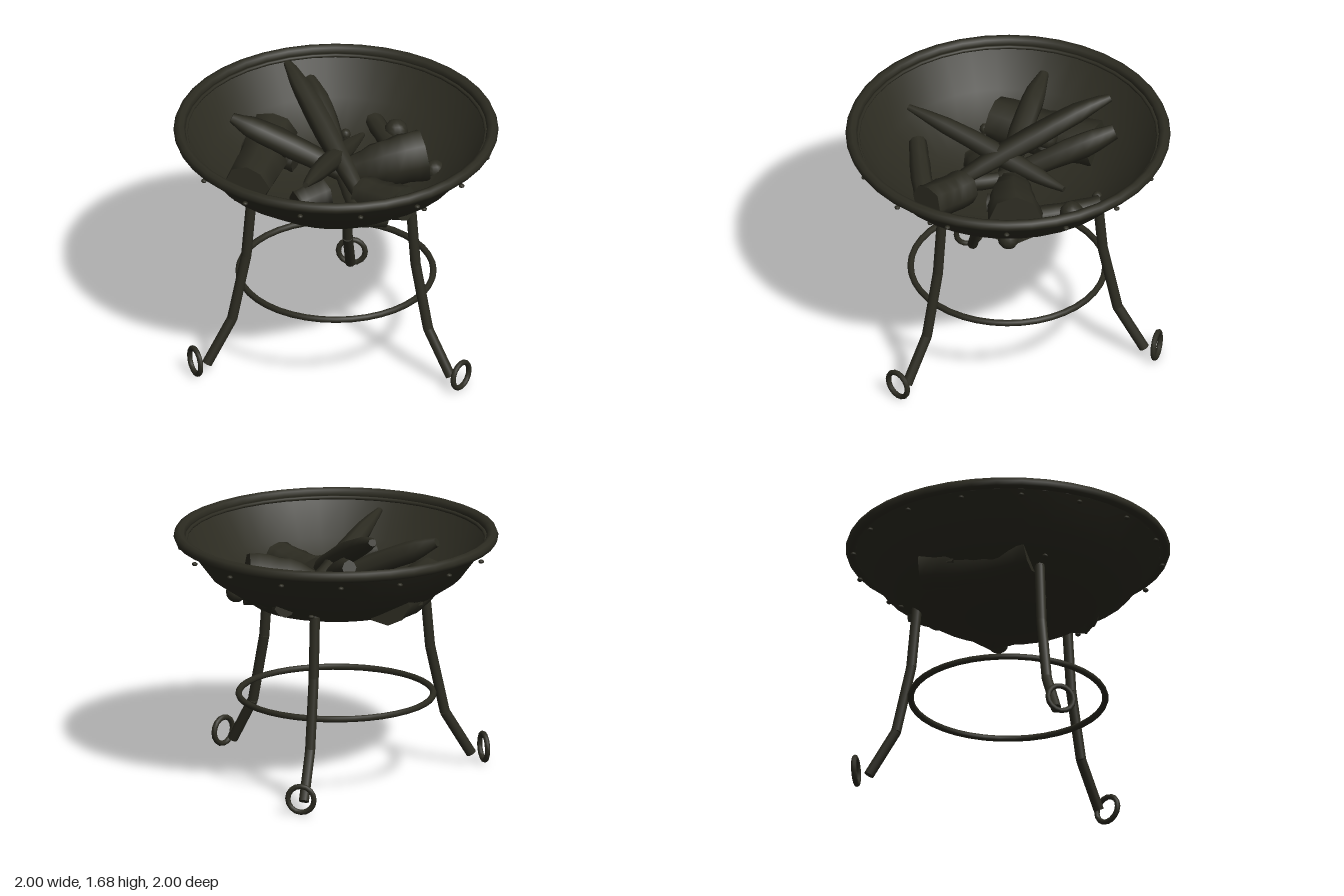
import * as THREE from 'three';

const V = (x, y, z) => new THREE.Vector3(x, y, z);

export function createModel() {
  const root = new THREE.Group();
  root.name = 'firePit';
  const iron = new THREE.MeshStandardMaterial({ color: 0x2c2b21 });
  iron.name = 'blackened iron';
  const ironSheet = new THREE.MeshStandardMaterial({ color: 0x2c2b21, side: THREE.DoubleSide });
  ironSheet.name = 'blackened iron sheet';

  const add = (parent, name, geo, pos = [0, 0, 0], mat = iron) => {
    const m = new THREE.Mesh(geo, mat);
    m.name = name;
    m.position.set(...pos);
    parent.add(m);
    return m;
  };

  // straight round bar between two points
  const bar = (parent, name, a, b, r) => {
    const d = b.clone().sub(a);
    const m = add(parent, name, new THREE.CylinderGeometry(r, r, d.length(), 12));
    m.position.copy(a).addScaledVector(d, 0.5);
    m.quaternion.setFromUnitVectors(V(0, 1, 0), d.normalize());
  };

  // thin bowl and its rolled rim
  const profile = [[0, 1.06], [0.235, 1.062], [0.52, 1.125], [0.78, 1.3], [0.93, 1.5], [0.955, 1.535]];
  add(root, 'bowl', new THREE.LatheGeometry(profile.map(p => new THREE.Vector2(...p)), 36), [0, 0, 0], ironSheet);
  const hoop = (name, R, r, y) => {
    add(root, name, new THREE.TorusGeometry(R, r, 8, 40), [0, y, 0]).rotation.x = Math.PI / 2;
  };
  hoop('rim', 0.965, 0.036, 1.535);
  hoop('innerLip', 0.925, 0.012, 1.515);
  hoop('stretcherRing', 0.6, 0.02, 0.525);

  // rivets below the rim
  for (let i = 0; i < 16; i++) {
    const a = i * Math.PI / 8;
    add(root, 'rivet', new THREE.SphereGeometry(0.018, 8, 6),
      [0.955 * Math.sin(a), 1.46, 0.955 * Math.cos(a)]).scale.y = 0.7;
  }

  // three bent legs with ring feet
  const bends = [[0.57, 1.17], [0.605, 0.78], [0.7, 0.35], [0.87, 0.07]];
  for (let i = 0; i < 3; i++) {
    const leg = new THREE.Group();
    leg.name = 'leg';
    leg.rotation.y = i * Math.PI * 2 / 3;
    root.add(leg);
    for (let k = 0; k < 3; k++) {
      const [p, q] = [bends[k], bends[k + 1]];
      bar(leg, 'legBar', V(0, p[1], p[0]), V(0, q[1], q[0]), 0.032);
    }
    add(leg, 'footRing', new THREE.TorusGeometry(0.083, 0.017, 8, 16), [0, 0.105, 0.95]);
    add(leg, 'legBolt', new THREE.SphereGeometry(0.033, 10, 8), [0, 1.165, 0.57]);
    add(leg, 'legRivet', new THREE.SphereGeometry(0.018, 8, 6), [0, 1.195, 0.67]).scale.y = 0.7;
  }

  // seeded noise for uneven wood
  let seed = 7;
  const rnd = () => (seed = (seed * 16807) % 2147483647) / 2147483647;

  // split log: uneven loops swept along points [x, y, z, radius]
  const log = (name, pts, sides = 8) => {
    const curve = new THREE.CatmullRomCurve3(pts.map(p => V(p[0], p[1], p[2])));
    const steps = 8, pos = [], idx = [];
    const shape = Array.from({ length: sides }, () => 0.88 + rnd() * 0.24);
    for (let i = 0; i <= steps; i++) {
      const t = i / steps, f = t * (pts.length - 1);
      const k = Math.min(Math.floor(f), pts.length - 2);
      const r = THREE.MathUtils.lerp(pts[k][3], pts[k + 1][3], f - k);
      const c = curve.getPoint(t), dir = curve.getTangent(t);
      const side = V(0, 1, 0).cross(dir).normalize(), up = dir.clone().cross(side);
      for (let j = 0; j < sides; j++) {
        const a = j / sides * Math.PI * 2, q = r * shape[j] * (0.94 + rnd() * 0.12);
        const p = c.clone().addScaledVector(side, Math.cos(a) * q).addScaledVector(up, Math.sin(a) * q);
        pos.push(p.x, p.y, p.z);
        if (i < steps) {
          const m = i * sides + j, n = i * sides + (j + 1) % sides;
          idx.push(m, n, m + sides, n, n + sides, m + sides);
        }
      }
    }
    // end caps with their own corners for crisp edges
    for (const end of [0, steps]) {
      const base = pos.length / 3, c = curve.getPoint(end / steps);
      for (let j = 0; j < sides; j++) {
        const s = (end * sides + j) * 3;
        pos.push(pos[s], pos[s + 1], pos[s + 2]);
      }
      pos.push(c.x, c.y, c.z);
      for (let j = 0; j < sides; j++) {
        const n = (j + 1) % sides;
        if (end) idx.push(base + sides, base + j, base + n);
        else idx.push(base + sides, base + n, base + j);
      }
    }
    const g = new THREE.BufferGeometry();
    g.setAttribute('position', new THREE.Float32BufferAttribute(pos, 3));
    g.setIndex(idx);
    g.computeVertexNormals();
    add(root, name, g);
  };

  // leaning logs
  log('leaningLog', [[-0.28, 1.545, -0.59, 0.03], [-0.22, 1.48, -0.45, 0.072], [-0.1, 1.36, -0.2, 0.075], [0.03, 1.22, 0.04, 0.06]]);
  log('leaningLog', [[0.3, 1.66, -0.59, 0.025], [0.22, 1.6, -0.44, 0.06], [0.04, 1.43, -0.09, 0.075], [-0.15, 1.24, 0.28, 0.045]]);
  log('leaningLog', [[0.42, 1.51, -0.51, 0.045], [0.33, 1.45, -0.37, 0.075], [0.17, 1.34, -0.16, 0.07], [0, 1.22, 0.06, 0.05]]);
  log('splinterLog', [[-0.64, 1.52, 0.23, 0.02], [-0.4, 1.46, 0.14, 0.055], [-0.05, 1.36, 0.02, 0.07], [0.2, 1.3, -0.05, 0.055], [0.4, 1.27, -0.09, 0.02]]);

  // logs and chunks lying on the bowl floor
  log('thickLog', [[-0.47, 1.24, -0.34, 0.13], [-0.15, 1.22, -0.46, 0.14], [0.17, 1.24, -0.6, 0.14]]);
  log('thickLog', [[0.08, 1.2, 0.02, 0.09], [0.24, 1.25, 0.19, 0.14], [0.43, 1.28, 0.35, 0.16]]);
  log('shortLog', [[-0.1, 1.22, 0.27, 0.11], [-0.11, 1.23, 0.45, 0.115], [-0.11, 1.26, 0.6, 0.11]]);
  log('thinLog', [[0.4, 1.2, 0.2, 0.06], [0.52, 1.21, 0.02, 0.06], [0.64, 1.23, -0.17, 0.06]]);
  log('thinLog', [[-0.59, 1.27, 0.2, 0.05], [-0.4, 1.22, 0.36, 0.06], [-0.2, 1.18, 0.52, 0.06]]);
  log('thinLog', [[-0.25, 1.18, 0.33, 0.04], [-0.08, 1.2, 0.15, 0.05], [0.05, 1.22, -0.02, 0.04]]);
  log('woodChunk', [[-0.35, 1.15, -0.05, 0.08], [-0.15, 1.17, 0.03, 0.09]], 5);
  log('woodChunk', [[0.0, 1.2, -0.3, 0.07], [-0.05, 1.26, -0.64, 0.08]], 6);
  log('woodChunk', [[0.02, 1.12, 0.2, 0.06], [0.2, 1.13, 0.05, 0.07]], 5);

  // embers
  for (const [x, y, z, r] of [[0.59, 1.25, 0.03, 0.075], [0.44, 1.18, 0.43, 0.065], [-0.03, 1.3, -0.36, 0.07]])
    add(root, 'ember', new THREE.SphereGeometry(r, 12, 8), [x, y, z]);

  return root;
}
